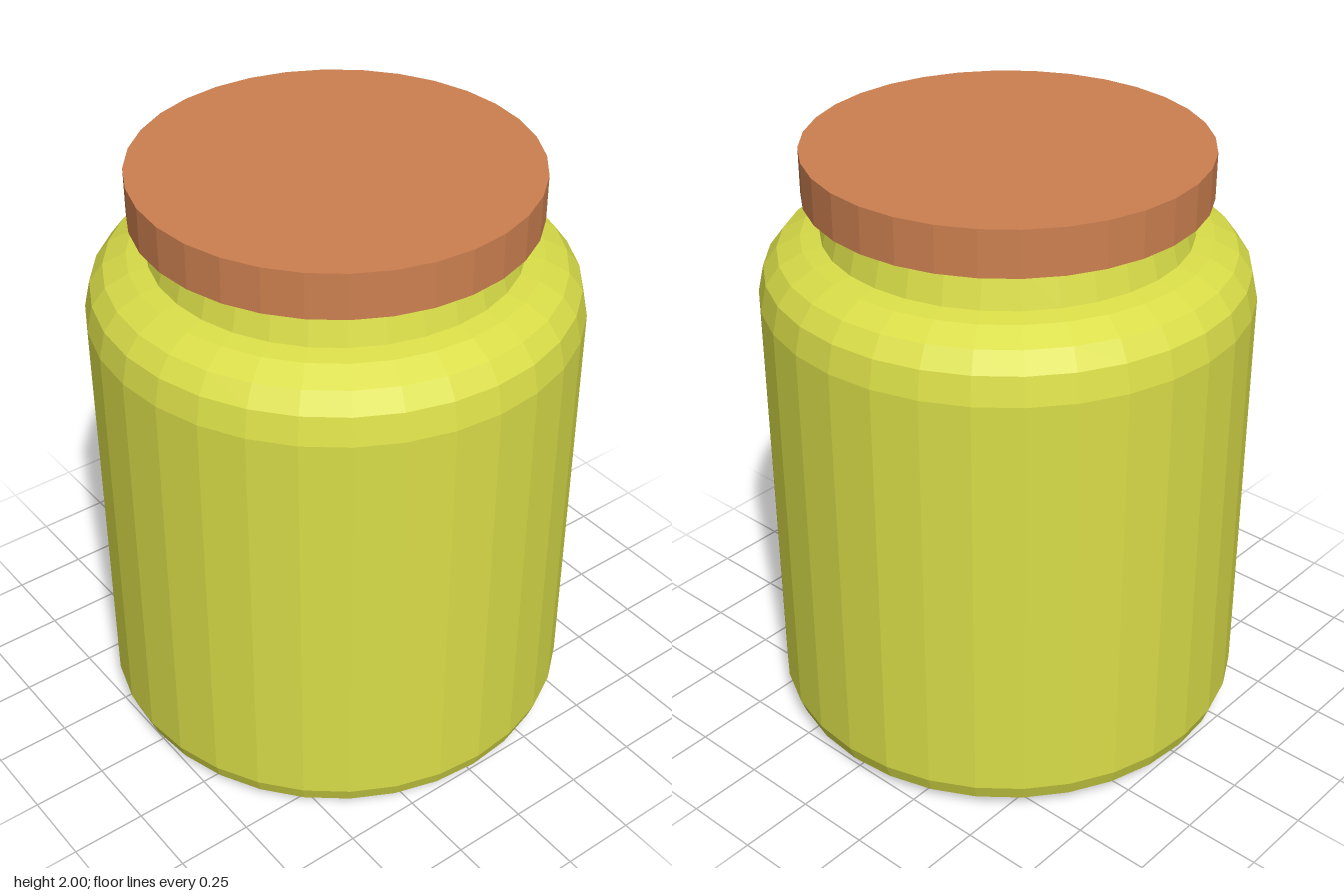
import * as THREE from 'three';

const SIDES = 32;

// Revolves a bottom-to-top list of [radius, height] points.
function turned(name, profile, material) {
  const points = profile.map(([r, y]) => new THREE.Vector2(r, y));
  const mesh = new THREE.Mesh(new THREE.LatheGeometry(points, SIDES), material);
  mesh.name = name;
  return mesh;
}

export function createModel() {
  const glaze = new THREE.MeshStandardMaterial({ color: 0xd9dd48, flatShading: true });
  glaze.name = 'yellow green glaze';
  const cork = new THREE.MeshStandardMaterial({ color: 0xcd8050, flatShading: true });
  cork.name = 'terracotta cork';

  const jar = new THREE.Group();
  jar.name = 'jar';

  // Body: flat base, small rounded foot, straight wall, rounded shoulder
  jar.add(turned('body', [
    [0, 0], [0.69, 0], [0.735, 0.015], [0.77, 0.045], [0.79, 0.1],
    [0.79, 1.52], [0.77, 1.61], [0.725, 1.67], [0.65, 1.71], [0.588, 1.722],
  ], glaze));

  // Neck: tapers up to the lid
  jar.add(turned('neck', [[0.588, 1.722], [0.555, 1.85]], glaze));

  // Lid: overhanging disc
  jar.add(turned('lid', [[0, 1.85], [0.64, 1.85], [0.64, 2], [0, 2]], cork));

  return jar;
}
